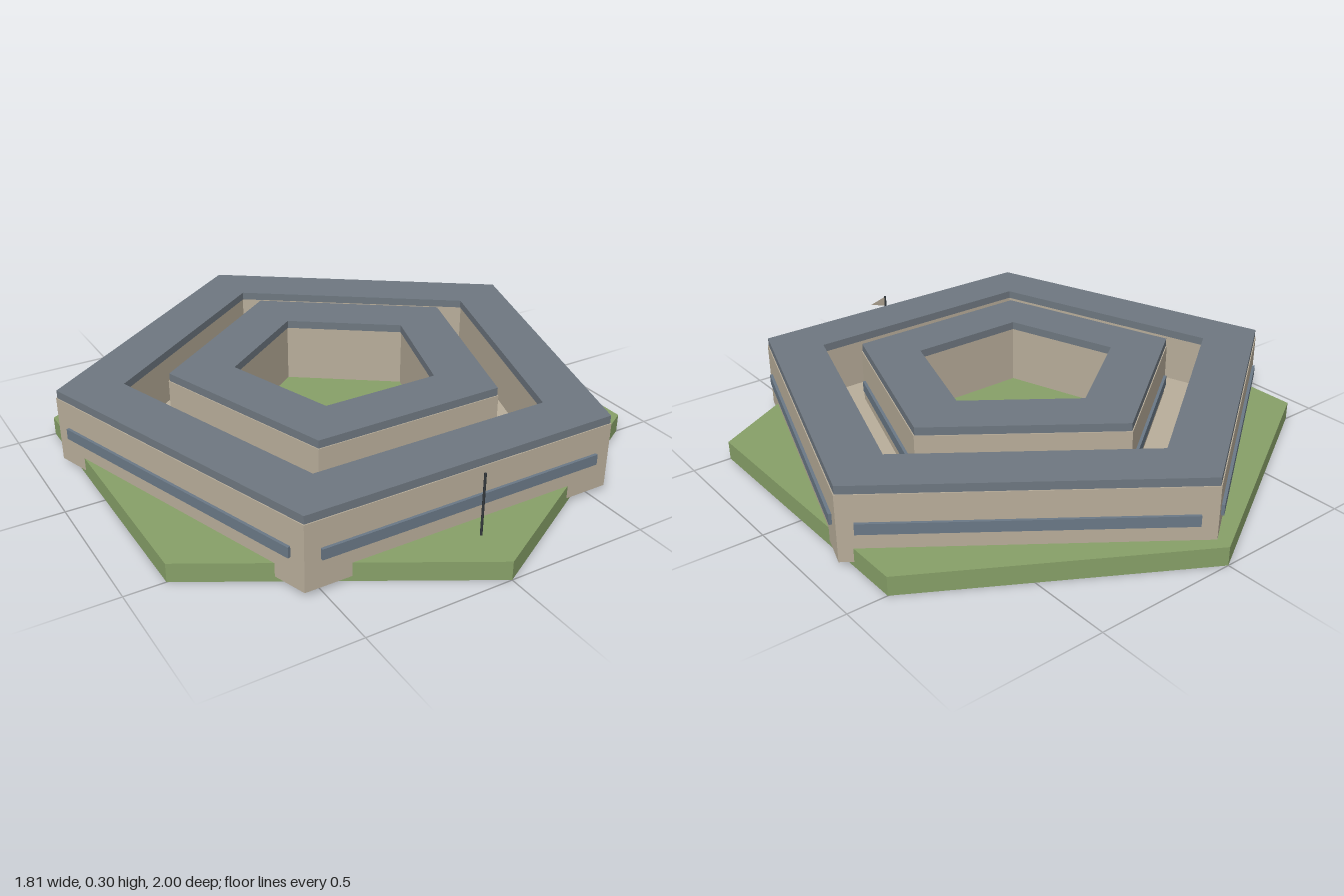
import * as THREE from 'three';

const mat = (name, color, extra = {}) => {
  const m = new THREE.MeshStandardMaterial({ color, ...extra });
  m.name = name;
  return m;
};

// Regular polygon outline with one corner pointing to the back (-z after laying flat)
function polygon(sides, radius, Type = THREE.Shape) {
  const pts = [];
  for (let i = 0; i < sides; i++) {
    const a = Math.PI / 2 + (i * 2 * Math.PI) / sides;
    pts.push(new THREE.Vector2(radius * Math.cos(a), radius * Math.sin(a)));
  }
  return new Type(pts);
}

// Upright prism between two heights, optionally hollow
function prism(name, material, sides, outer, inner, y0, y1) {
  const shape = polygon(sides, outer);
  if (inner) shape.holes.push(polygon(sides, inner, THREE.Path));
  const geo = new THREE.ExtrudeGeometry(shape, { depth: y1 - y0, bevelEnabled: false });
  geo.rotateX(-Math.PI / 2).translate(0, y0, 0);
  const mesh = new THREE.Mesh(geo, material);
  mesh.name = name;
  return mesh;
}

export function createModel() {
  const grass = mat('grass', 0x87a068);
  const stone = mat('stone', 0xb8ad9a);
  const slate = mat('slate', 0x6e7780);
  const glass = mat('glass', 0x6a7886);
  const iron = mat('iron', 0x33383c);
  const cloth = mat('cloth', 0xb8ad9a, { side: THREE.DoubleSide });

  const model = new THREE.Group();
  model.name = 'pentagonalBuilding';

  // Hexagonal lawn and the paved court between the two rings
  model.add(prism('lawn', grass, 6, 1, 0, 0, 0.065));
  model.add(prism('court', stone, 5, 0.74, 0.5, 0.03, 0.08));

  // Two concentric rings: walls, roof slab and a window band on each outer face
  const rings = [
    { name: 'outerRing', outer: 0.95, inner: 0.73, top: 0.248, roof: 0.276, band: 0.136 },
    { name: 'innerRing', outer: 0.578, inner: 0.358, top: 0.27, roof: 0.298, band: 0.147 },
  ];
  for (const r of rings) {
    const ring = new THREE.Group();
    ring.name = r.name;
    ring.add(prism('walls', stone, 5, r.outer, r.inner, 0.018, r.top));
    ring.add(prism('roof', slate, 5, r.outer - 0.004, r.inner - 0.004, r.top, r.roof));
    const edge = 2 * r.outer * Math.sin(Math.PI / 5);
    const apothem = r.outer * Math.cos(Math.PI / 5);
    for (let i = 0; i < 5; i++) {
      const geo = new THREE.BoxGeometry(edge * 0.905, 0.037, 0.02);
      geo.translate(0, r.band, apothem).rotateY((i * 2 * Math.PI) / 5);
      const band = new THREE.Mesh(geo, glass);
      band.name = 'windowBand';
      ring.add(band);
    }
    model.add(ring);
  }

  // Flagpole with a small pennant in front
  const pole = new THREE.Mesh(new THREE.CylinderGeometry(0.004, 0.004, 0.22, 8), iron);
  pole.name = 'flagpole';
  pole.position.set(0, 0.17, 0.845);
  const pennant = new THREE.Shape([
    new THREE.Vector2(0, 0.278), new THREE.Vector2(0, 0.24), new THREE.Vector2(0.066, 0.259),
  ]);
  const flag = new THREE.Mesh(new THREE.ShapeGeometry(pennant), cloth);
  flag.name = 'flag';
  flag.position.z = 0.845;
  model.add(pole, flag);

  return model;
}
